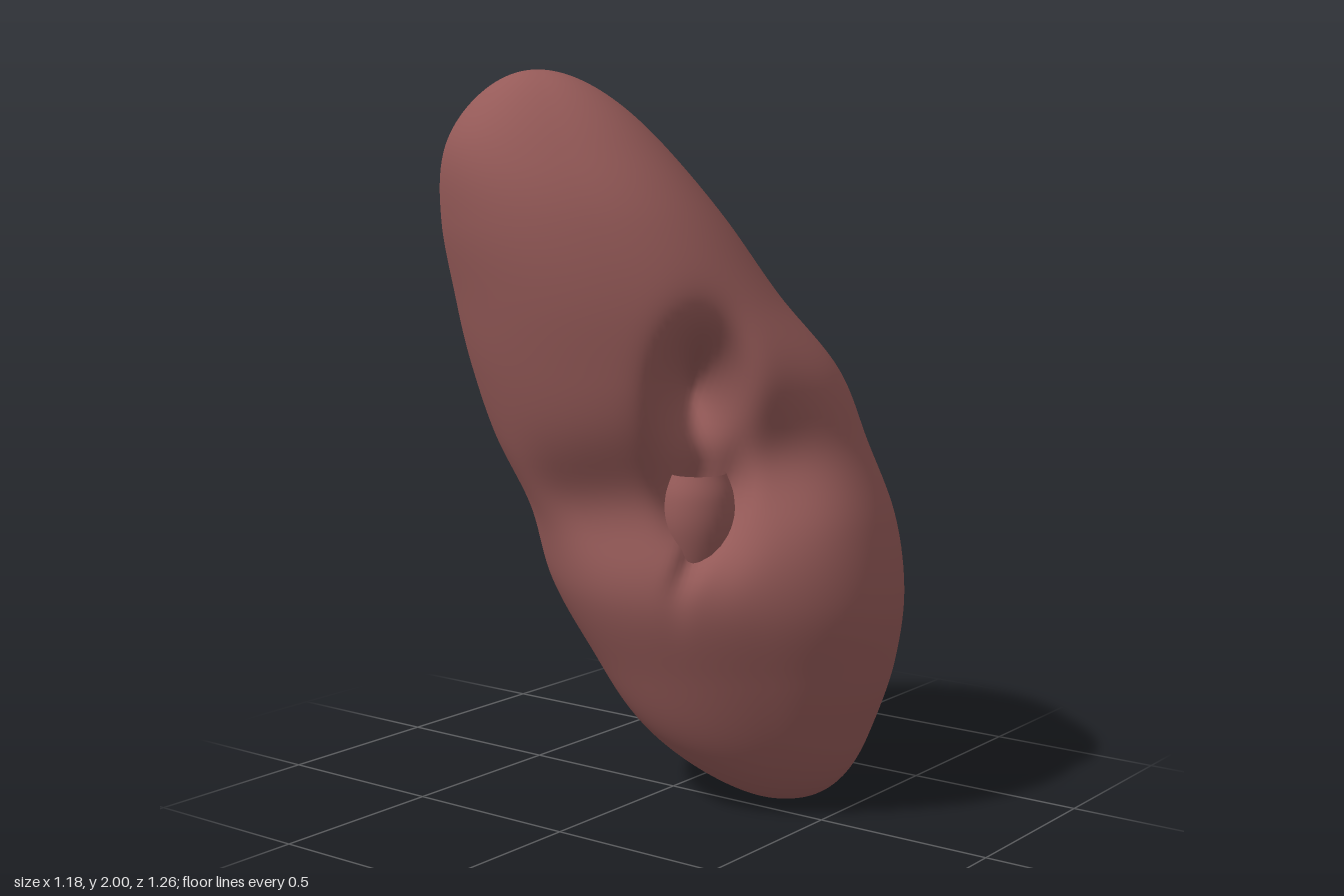
import * as THREE from 'three';

// Evenly spaced cross-sections from bottom to top: centre (u, w), half breadth, half thickness.
// u runs across the bean (the hollow faces -u), w runs through its thickness.
const SECTIONS = [
  [-0.127, 0.297, 0, 0],
  [-0.07, 0.22, 0.29, 0.31],
  [-0.035, 0.187, 0.395, 0.41],
  [-0.005, 0.145, 0.475, 0.475],
  [0.02, 0.105, 0.5, 0.49],
  [0.035, 0.02, 0.505, 0.5],
  [0.025, -0.055, 0.505, 0.49],
  [0.015, -0.16, 0.49, 0.43],
  [-0.02, -0.25, 0.42, 0.375],
  [-0.07, -0.33, 0.28, 0.285],
  [-0.092, -0.375, 0, 0],
];
const HEIGHT = 2, ROWS = 128, AROUND = 200, POWER = 2.35, SKEW = 0.1;

// Diagonal (u, w) axes to world space
const place = (u, y, w) => [(u + w) * Math.SQRT1_2, y, (w - u) * Math.SQRT1_2];
const bell = (d, size) => Math.exp(-((d / size) ** 2));

// How far the surface is pressed in around the hollow
function dent(y, w) {
  const frontLip = 0.1 * bell(y - 0.98, 0.17) * bell(w - 0.15, 0.2);
  const backLip = 0.07 * bell(y - 0.87, 0.14) * bell(w + 0.25, 0.25);
  const deep = 0.25 * bell(y - 1.17, 0.14) * bell(w - 0.02, 0.09);
  const low = 0.13 * bell(y - 0.88, 0.13) * bell(w - 0.03, 0.09);
  const creaseW = THREE.MathUtils.lerp(-0.05, 0.12, THREE.MathUtils.smoothstep(y, 0.62, 0.95));
  const crease = 0.05 * bell(y - 0.83, 0.15) * bell(w - creaseW, 0.035);
  return frontLip + backLip + deep + low + crease;
}

// Closed skin lofted through the smoothed sections; squared radii keep the ends round
function bodyGeometry() {
  const spine = new THREE.CatmullRomCurve3(
    SECTIONS.map(([u, w], i) => new THREE.Vector3(u, (HEIGHT * i) / (SECTIONS.length - 1), w)),
    false, 'catmullrom');
  const squares = new THREE.CatmullRomCurve3(
    SECTIONS.map(([, , a, c]) => new THREE.Vector3(a * a, c * c, 0)), false, 'catmullrom');
  const positions = [], index = [];
  for (let i = 0; i <= ROWS; i++) {
    const t = (1 - Math.cos((Math.PI * i) / ROWS)) / 2;
    const centre = spine.getPoint(t), square = squares.getPoint(t);
    const a = Math.sqrt(Math.max(square.x, 0)), c = Math.sqrt(Math.max(square.y, 0));
    for (let j = 0; j < AROUND; j++) {
      const angle = (j / AROUND) * Math.PI * 2;
      const cos = Math.cos(angle), sin = Math.sin(angle);
      const r = (Math.abs(cos) ** POWER + Math.abs(sin) ** POWER) ** (-1 / POWER)
        * (1 - SKEW * cos * sin);
      const w = centre.z + c * r * sin;
      const u = centre.x + a * r * cos
        + dent(centre.y, w) * THREE.MathUtils.smoothstep(-cos, 0.1, 0.7);
      positions.push(...place(u, centre.y, w));
    }
  }
  for (let i = 0; i < ROWS; i++) {
    for (let j = 0; j < AROUND; j++) {
      const k = (j + 1) % AROUND;
      const a = i * AROUND + j, b = i * AROUND + k;
      const d = a + AROUND, e = b + AROUND;
      index.push(a, d, b, b, d, e);
    }
  }
  const geometry = new THREE.BufferGeometry();
  geometry.setAttribute('position', new THREE.Float32BufferAttribute(positions, 3));
  geometry.setIndex(index);
  geometry.computeVertexNormals();
  return geometry;
}

export function createModel() {
  const group = new THREE.Group();
  group.name = 'kidney';
  const color = 0x955a58;

  const body = new THREE.Mesh(bodyGeometry(), new THREE.MeshStandardMaterial({ color }));
  body.name = 'body';
  group.add(body);

  // Open pouch sitting in the lower half of the hollow
  const profile = new THREE.SplineCurve([
    [0.01, -0.2], [0.06, -0.12], [0.095, 0], [0.095, 0.09], [0.075, 0.15],
  ].map(([r, y]) => new THREE.Vector2(r, y)));
  const pouch = new THREE.Mesh(
    new THREE.LatheGeometry(profile.getPoints(20), 32),
    new THREE.MeshStandardMaterial({ color, side: THREE.DoubleSide }));
  pouch.name = 'hollowPouch';
  pouch.position.set(...place(-0.32, 0.8, 0.02));
  group.add(pouch);

  return group;
}
